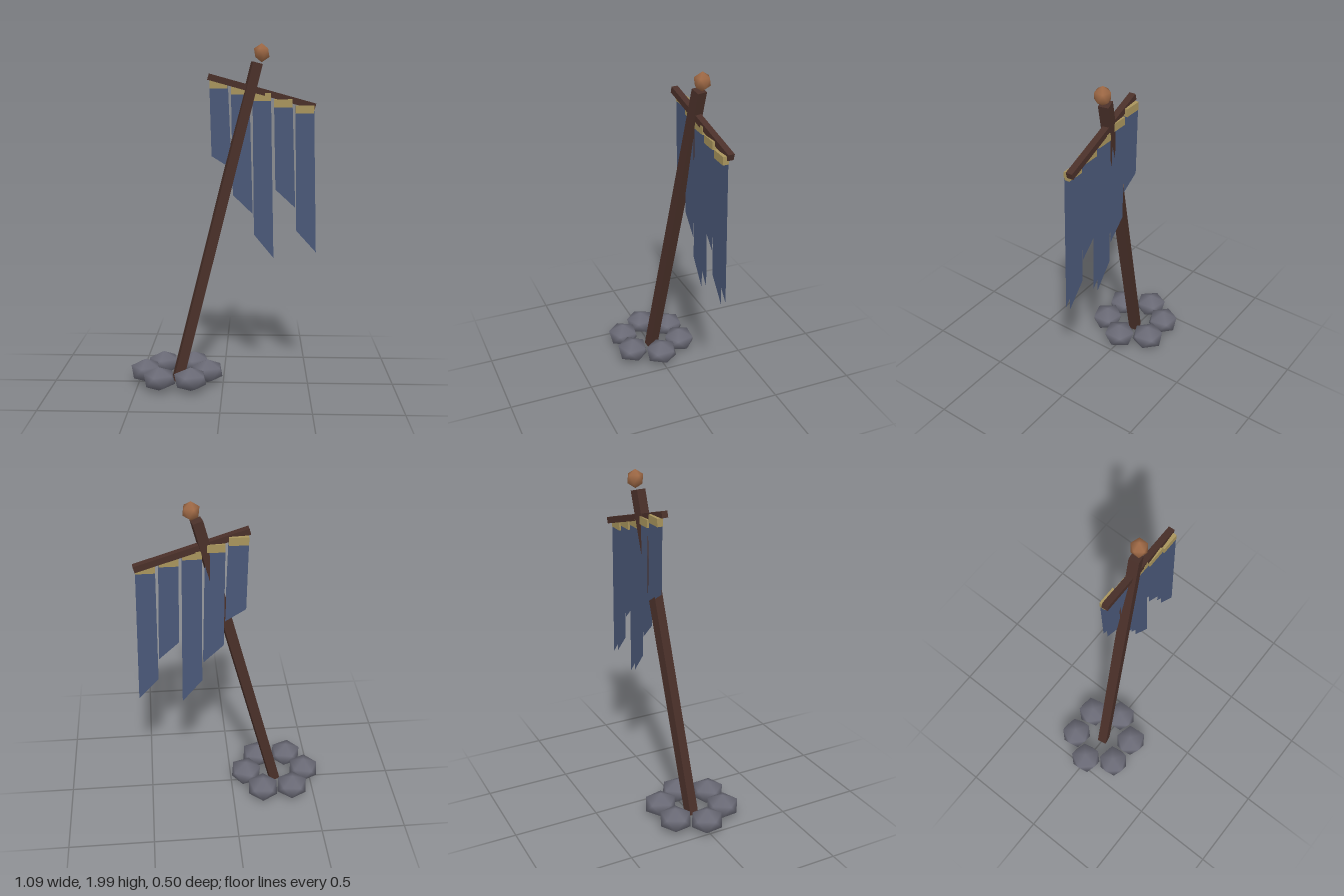
import * as THREE from 'three';
import { mergeVertices } from 'three/addons/utils/BufferGeometryUtils.js';

const mat = (name, color, side = THREE.FrontSide) =>
  Object.assign(new THREE.MeshStandardMaterial({ color, side }), { name });

// Square beam between two points, with one pair of faces kept vertical
function beam(name, a, b, size, material) {
  const from = new THREE.Vector3(...a), to = new THREE.Vector3(...b);
  const dir = to.clone().sub(from);
  const mesh = new THREE.Mesh(new THREE.BoxGeometry(size, dir.length(), size), material);
  const y = dir.clone().normalize();
  const z = new THREE.Vector3(-dir.z, 0, dir.x).normalize();
  const x = new THREE.Vector3().crossVectors(y, z);
  mesh.quaternion.setFromRotationMatrix(new THREE.Matrix4().makeBasis(x, y, z));
  mesh.position.copy(from).add(to).multiplyScalar(0.5);
  mesh.name = name;
  return mesh;
}

// Smooth-shaded icosahedron standing on a corner, optionally uneven
function pebble(rx, ry, rz, unevenness = 0, seed = 0) {
  let g = new THREE.IcosahedronGeometry(1, 0);
  g.rotateZ(Math.atan(2 / (1 + Math.sqrt(5))));
  g.deleteAttribute('normal');
  g.deleteAttribute('uv');
  g = mergeVertices(g);
  const p = g.attributes.position;
  for (let i = 0; i < p.count; i++) {
    const k = 1 + unevenness * Math.sin(i * 12.9 + seed * 7.3);
    p.setXYZ(i, p.getX(i) * k, p.getY(i), p.getZ(i) * k);
  }
  g.scale(rx, ry, rz);
  g.computeVertexNormals();
  return g;
}

export function createModel() {
  const group = new THREE.Group();
  const wood = mat('darkWood', 0x4a3029);
  const stone = mat('greyStone', 0x6c6c78);
  const copper = mat('copper', 0xa06a46);
  const gold = mat('goldTrim', 0xa8945c);
  const cloth = mat('blueCloth', 0x4a5878, THREE.DoubleSide);

  // Leaning pole, crossbar and knob
  group.add(beam('pole', [-0.272, 0.022, 0], [0.19, 1.888, -0.104], 0.058, wood));
  group.add(beam('crossbar', [-0.09, 1.81, -0.08], [0.528, 1.638, -0.13], 0.037, wood));
  const knob = new THREE.Mesh(pebble(0.05, 0.054, 0.05), copper);
  knob.position.set(0.217, 1.945, -0.107);
  knob.name = 'knob';
  group.add(knob);

  // Ring of stones around the foot
  for (let i = 0; i < 6; i++) {
    const a = (i * Math.PI) / 3;
    const mesh = new THREE.Mesh(pebble(0.1, 0.07, 0.103, 0.04, i), stone);
    mesh.position.set(-0.275 + 0.183 * Math.cos(a), 0.083, 0.183 * Math.sin(a) * 0.99);
    mesh.rotation.y = i * 1.3;
    mesh.name = 'stone';
    group.add(mesh);
  }

  // Hanging strips: gold hem over the bar, two cloth layers with slanted ends
  const ends = [[1.352, 1.28], [1.124, 1.013], [0.89, 0.75], [1.157, 1.05], [0.913, 0.786]];
  ends.forEach(([leftEnd, rightEnd], i) => {
    const strip = new THREE.Group();
    strip.name = 'bannerStrip';
    const x = -0.03 + i * 0.1245, y = 1.766 - i * 0.036, z = -0.105;

    const hem = new THREE.Mesh(new THREE.BoxGeometry(0.106, 0.046, 0.034), gold);
    hem.position.set(x, y, z);
    hem.name = 'hem';
    strip.add(hem);

    const shape = new THREE.Shape([
      new THREE.Vector2(x - 0.053, y),
      new THREE.Vector2(x - 0.041, leftEnd),
      new THREE.Vector2(x + 0.075, rightEnd),
      new THREE.Vector2(x + 0.053, y),
    ]);
    for (const s of [-1, 1]) {
      const layer = new THREE.Mesh(new THREE.ShapeGeometry(shape), cloth);
      layer.position.z = z + s * 0.014;
      layer.name = 'clothLayer';
      strip.add(layer);
    }
    group.add(strip);
  });

  return group;
}
